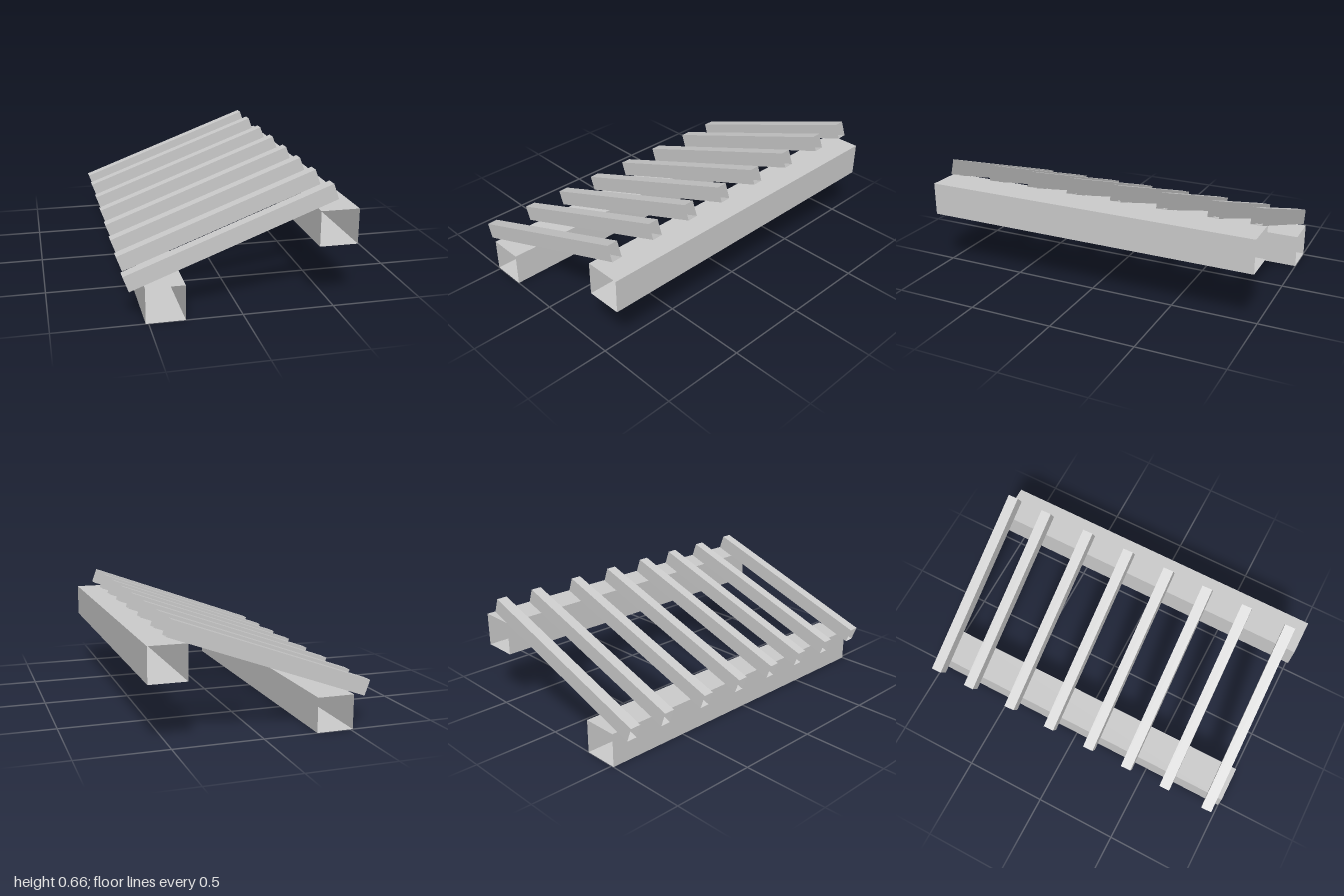
import * as THREE from 'three';

const material = new THREE.MeshStandardMaterial({
  color: 0xcccccc, flatShading: true, side: THREE.DoubleSide,
});

// Thin-walled rectangular tube along z, open at both ends
function openTube(name, width, height, length) {
  const geometry = new THREE.CylinderGeometry(Math.SQRT1_2, Math.SQRT1_2, 1, 4, 1, true)
    .rotateY(Math.PI / 4)
    .rotateX(Math.PI / 2)
    .scale(width, height, length);
  const mesh = new THREE.Mesh(geometry, material);
  mesh.name = name;
  return mesh;
}

export function createModel() {
  const model = new THREE.Group();
  model.name = 'slattedRamp';

  // Two long beams, one on the ground and one raised
  const beams = [['lowerBeam', -0.41, 0.0975], ['upperBeam', 0.515, 0.4425]];
  for (const [name, x, y] of beams) {
    const beam = openTube(name, 0.21, 0.195, 2);
    beam.position.set(x, y, 0);
    model.add(beam);
  }

  // Sloping slats, slightly skewed and unevenly spaced across the beams
  const slatZ = [-0.953, -0.718, -0.425, -0.146, 0.128, 0.387, 0.647, 0.925];
  const slope = THREE.MathUtils.degToRad(20);
  const skew = THREE.MathUtils.degToRad(1.7);
  slatZ.forEach((z, i) => {
    const slat = openTube(`slat${i + 1}`, 0.064, 0.091, 1.192);
    slat.geometry.rotateY(Math.PI / 2).rotateZ(slope).rotateY(skew);
    slat.position.set(-0.05, 0.418, z);
    model.add(slat);
  });

  return model;
}
